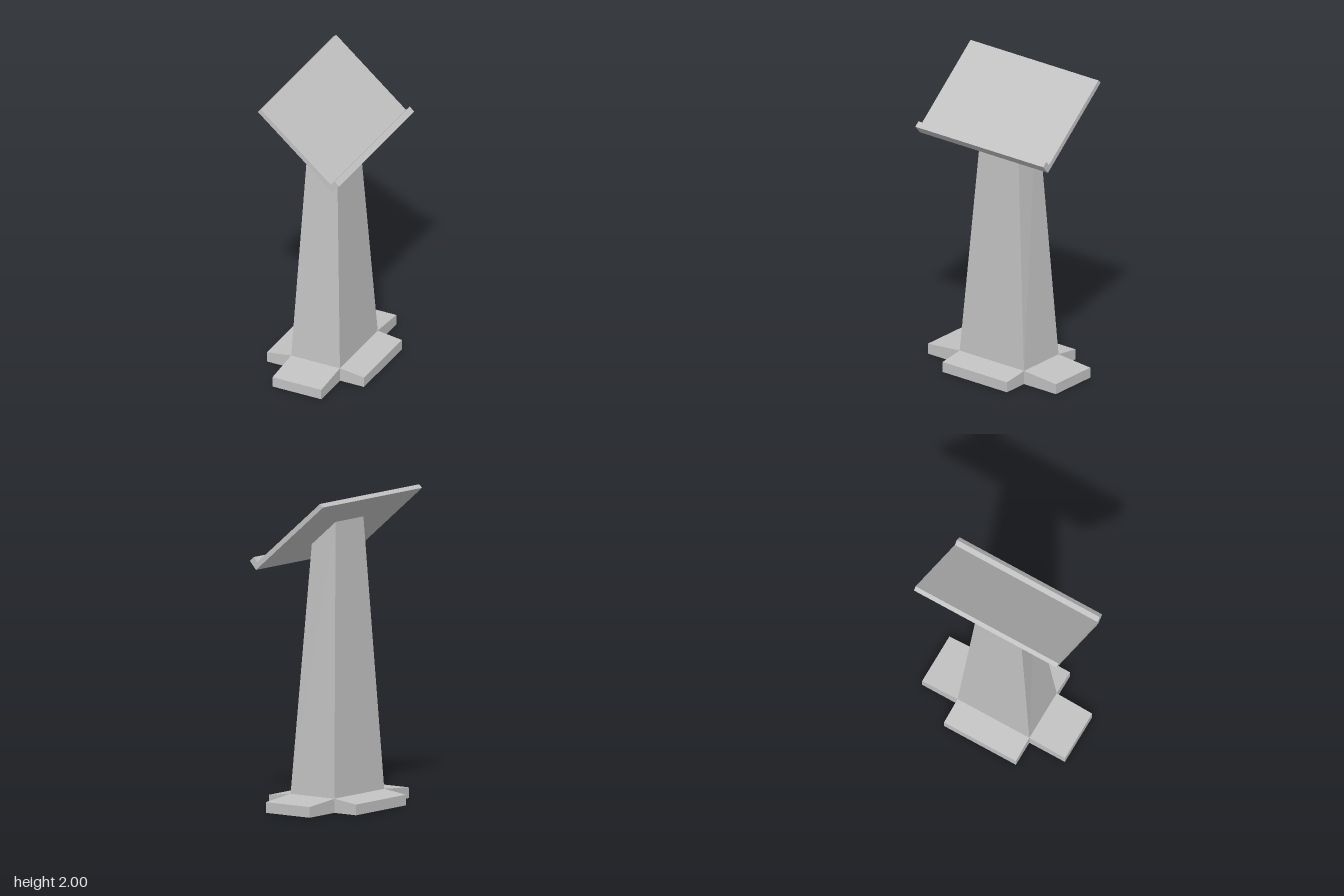
import * as THREE from 'three';

const grey = new THREE.MeshStandardMaterial({ color: 0xc2c2c2, flatShading: true });
grey.name = 'grey';

// Straight prism from an x-y outline, centred on z = 0
function prism(points, depth) {
  const shape = new THREE.Shape(points.map(([x, y]) => new THREE.Vector2(x, y)));
  return new THREE.ExtrudeGeometry(shape, { depth, bevelEnabled: false }).translate(0, 0, -depth / 2);
}

// Tapered column whose top follows the slope of the desk
function columnGeometry() {
  const g = new THREE.BoxGeometry(2, 2, 2);
  const p = g.attributes.position;
  for (let i = 0; i < p.count; i++) {
    const x = p.getX(i), z = p.getZ(i);
    if (p.getY(i) < 0) p.setXYZ(i, x * 0.172, 0.09, z * 0.26);
    else p.setXYZ(i, x < 0 ? -0.095 : 0.092, x < 0 ? 1.827 : 1.67, z * 0.145);
  }
  g.computeVertexNormals();
  return g;
}

export function createModel() {
  const model = new THREE.Group();
  model.name = 'lectern';
  const add = (name, geometry) => {
    const mesh = new THREE.Mesh(geometry, grey);
    mesh.name = name;
    model.add(mesh);
  };

  // Cross-shaped base with sloping feet
  add('baseBar', prism([
    [-0.342, 0], [0.342, 0], [0.342, 0.068], [0.172, 0.09], [-0.172, 0.09], [-0.342, 0.068],
  ], 0.52));
  for (const side of [1, -1]) {
    const foot = prism([[0.26, 0], [0.517, 0], [0.517, 0.068], [0.26, 0.09]], 0.344);
    add(side > 0 ? 'frontFoot' : 'backFoot', foot.rotateY(-side * Math.PI / 2));
  }

  add('column', columnGeometry());

  // Sloping desk with a lip along its lower edge
  add('desk', prism([
    [-0.276, 1.979], [0.25, 1.535], [0.298, 1.589], [0.266, 1.616], [0.24, 1.585], [-0.253, 2.0],
  ], 1.034));

  return model;
}
